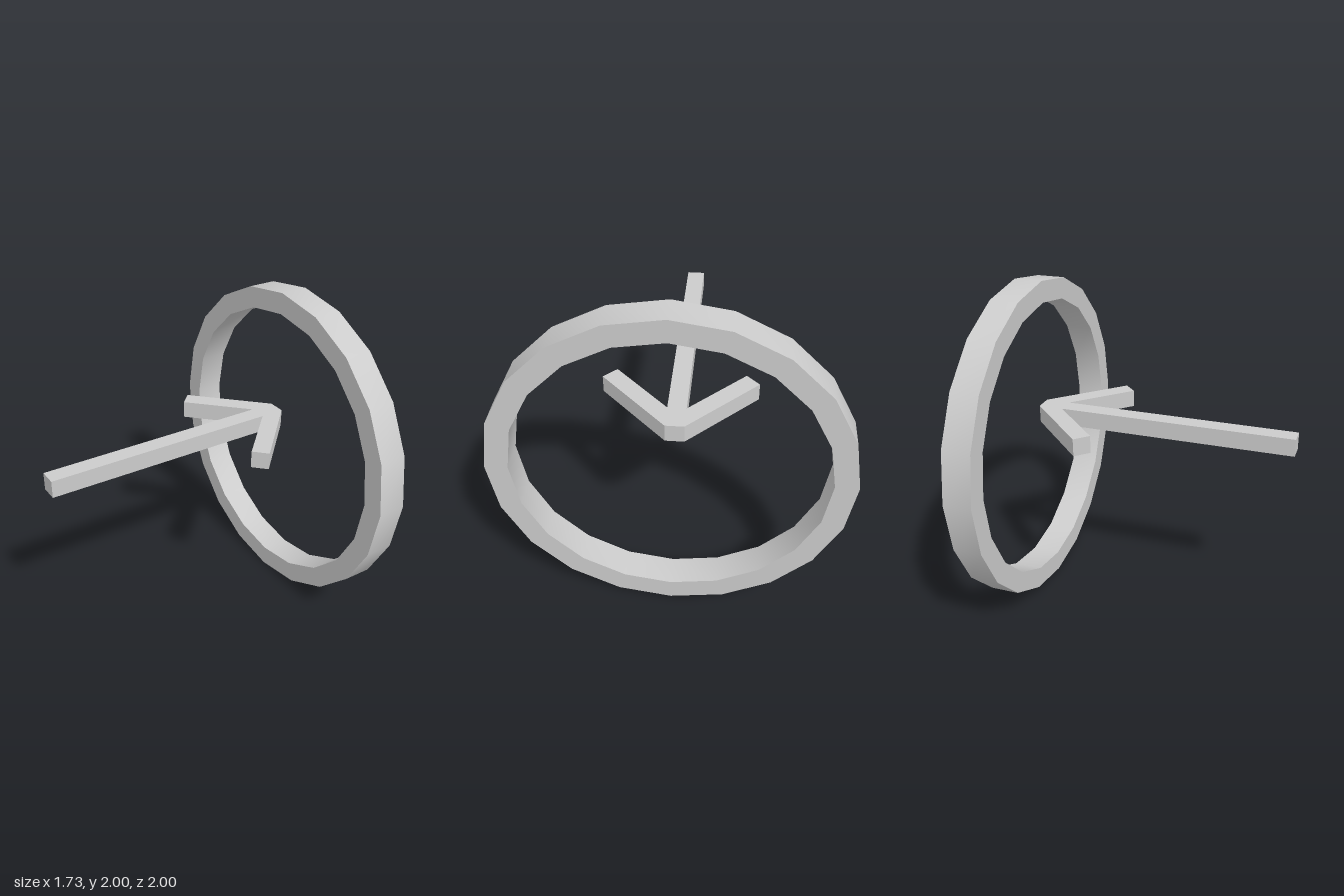
import * as THREE from 'three';
import { toCreasedNormals } from 'three/addons/utils/BufferGeometryUtils.js';

const material = new THREE.MeshStandardMaterial({ color: 0xcccccc });

function polygon(radius, sides) {
  return Array.from({ length: sides }, (_, i) => {
    const a = (i / sides) * Math.PI * 2;
    return new THREE.Vector2(radius * Math.cos(a), radius * Math.sin(a));
  });
}

// Upright 20-sided hoop with its axis along x
function createRing() {
  const shape = new THREE.Shape(polygon(1, 20));
  shape.holes.push(new THREE.Path(polygon(0.87, 20)));
  const extruded = new THREE.ExtrudeGeometry(shape, { depth: 0.175, bevelEnabled: false });
  const geometry = toCreasedNormals(extruded, 0.6);
  geometry.rotateY(Math.PI / 2);
  const ring = new THREE.Mesh(geometry, material);
  ring.name = 'ring';
  ring.position.set(0.69, 1, 0);
  return ring;
}

// Flat arrow pointing to +x: half outline, mirrored across its centre line
function createArrow() {
  const half = [
    [-0.868, 0.053], [0.57, 0.053], [0.253, 0.37], [0.328, 0.445], [0.72, 0.053],
  ];
  const outline = [...half, ...half.map(([x, z]) => [x, -z]).reverse()];
  const shape = new THREE.Shape(outline.map(([x, z]) => new THREE.Vector2(x, z)));
  const geometry = new THREE.ExtrudeGeometry(shape, { depth: 0.106, bevelEnabled: false });
  geometry.rotateX(Math.PI / 2);
  const arrow = new THREE.Mesh(geometry, material);
  arrow.name = 'arrow';
  arrow.position.set(0, 1.235, -0.016);
  return arrow;
}

export function createModel() {
  const model = new THREE.Group();
  model.name = 'arrowAndRing';
  model.add(createRing(), createArrow());
  return model;
}
